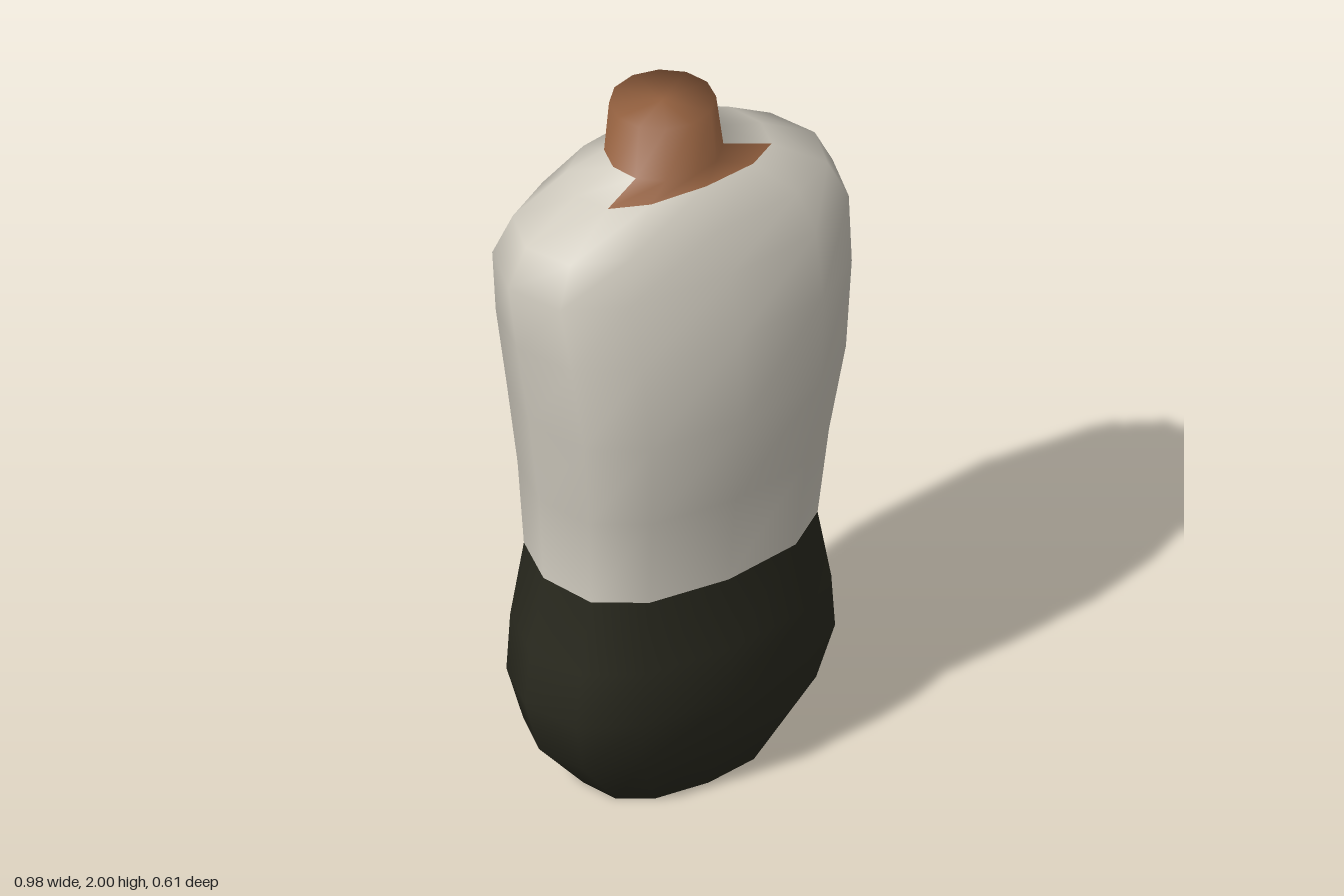
import * as THREE from 'three';

const SIDES = 12;

// Body cross-sections from bottom to top:
// [y, half width, front z, back z, roundness power, drop at the sides, tilt up at the front]
const RINGS = [
  [0.00, 0.26, 0.15, -0.20, 0.8, 0, 0],
  [0.16, 0.395, 0.21, -0.26, 0.8, 0, 0],
  [0.32, 0.44, 0.25, -0.29, 0.8, 0, 0],
  [0.48, 0.425, 0.255, -0.295, 0.8, 0, 0],
  [0.69, 0.385, 0.24, -0.28, 0.8, 0, -0.005], // waist
  [0.95, 0.407, 0.27, -0.287, 0.8, 0, 0],
  [1.21, 0.445, 0.305, -0.295, 0.8, 0, 0],
  [1.45, 0.475, 0.29, -0.303, 0.8, 0, 0.01],
  [1.63, 0.49, 0.243, -0.285, 0.8, 0, 0],
  [1.745, 0.437, 0.20, -0.245, 0.8, 0.01, 0],
  [1.845, 0.28, 0.14, -0.20, 0.85, 0.02, 0], // collar edge
  [1.852, 0.153, 0.09, -0.193, 1, 0, -0.003], // neck base
  [1.995, 0.135, 0.077, -0.19, 1, 0, 0.005], // neck top
];
const WAIST = 4, COLLAR = 10, NECK = 11;

const signedPow = (v, e) => Math.sign(v) * Math.pow(Math.abs(v), e);

export function createModel() {
  const group = new THREE.Group();
  const shirtMaterial = new THREE.MeshStandardMaterial({ color: 0xd0cbbf });
  shirtMaterial.name = 'offWhiteCloth';
  const trouserMaterial = new THREE.MeshStandardMaterial({ color: 0x2b2b20 });
  trouserMaterial.name = 'darkOliveCloth';
  const skinMaterial = new THREE.MeshStandardMaterial({ color: 0x93603f });
  skinMaterial.name = 'skin';

  // Points of every cross-section, angle 0 at the front
  const positions = [];
  for (const [y, w, front, back, power, drop, tilt] of RINGS) {
    const mid = (front + back) / 2, depth = (front - back) / 2;
    for (let k = 0; k < SIDES; k++) {
      const a = (k / SIDES) * Math.PI * 2;
      const s = Math.sin(a), c = Math.cos(a);
      positions.push(
        w * signedPow(s, power),
        y - drop * s * s + tilt * c,
        mid + depth * signedPow(c, power)
      );
    }
  }
  const bottom = RINGS.length * SIDES, top = bottom + 1;
  positions.push(0, 0, -0.025, 0, 1.995, -0.057);

  // Faces sorted by part
  const parts = { trousers: [], shirt: [], neck: [] };
  for (let r = 0; r < RINGS.length - 1; r++) {
    for (let k = 0; k < SIDES; k++) {
      const a = r * SIDES + k, b = r * SIDES + ((k + 1) % SIDES);
      const frontOpening = r === COLLAR && (k < 2 || k >= SIDES - 2);
      const part = r < WAIST ? 'trousers' : r >= NECK || frontOpening ? 'neck' : 'shirt';
      parts[part].push(a, b, b + SIDES, a, b + SIDES, a + SIDES);
    }
  }
  // End caps
  for (let k = 0; k < SIDES; k++) {
    const n = (k + 1) % SIDES, last = (RINGS.length - 1) * SIDES;
    parts.trousers.push(bottom, n, k);
    parts.neck.push(top, last + k, last + n);
  }

  // Normals are shared over the whole body so the seams stay smooth
  const body = new THREE.BufferGeometry();
  body.setAttribute('position', new THREE.Float32BufferAttribute(positions, 3));
  body.setIndex([...parts.trousers, ...parts.shirt, ...parts.neck]);
  body.computeVertexNormals();

  const materials = { trousers: trouserMaterial, shirt: shirtMaterial, neck: skinMaterial };
  for (const name of Object.keys(parts)) {
    body.setIndex(parts[name]);
    const mesh = new THREE.Mesh(body.toNonIndexed(), materials[name]);
    mesh.name = name;
    group.add(mesh);
  }
  group.name = 'torso';
  return group;
}
